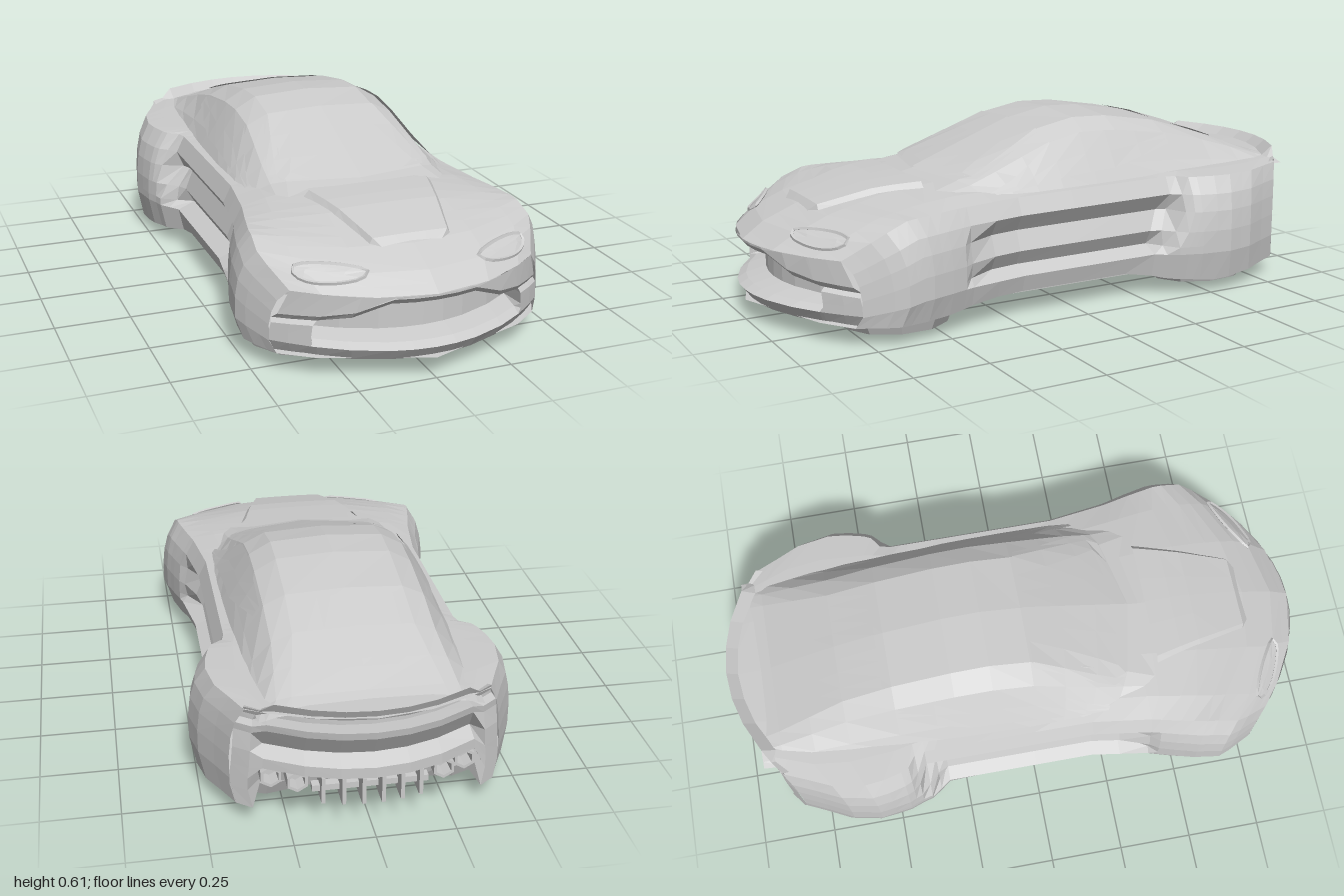
import * as THREE from 'three';

const mat = new THREE.MeshStandardMaterial({ color: 0xcccccc, flatShading: true, side: THREE.DoubleSide });
const mix = (a, b, t) => a + (b - a) * t;
const clamp = THREE.MathUtils.clamp;

// piecewise linear curve through [position, value] keys
function curve(keys) {
  return (s) => {
    if (s <= keys[0][0]) return keys[0][1];
    for (let i = 1; i < keys.length; i++) {
      const [a, va] = keys[i - 1], [b, vb] = keys[i];
      if (s <= b) return mix(va, vb, (s - a) / (b - a));
    }
    return keys[keys.length - 1][1];
  };
}

// surface through fn(u, v) for every pair of the given parameters
function grid(us, vs, fn) {
  const pos = [], idx = [], n = vs.length;
  us.forEach((u) => vs.forEach((v) => pos.push(...fn(u, v))));
  for (let i = 0; i < us.length - 1; i++) for (let j = 0; j < n - 1; j++) {
    const a = i * n + j;
    idx.push(a, a + 1, a + n, a + 1, a + n + 1, a + n);
  }
  const g = new THREE.BufferGeometry();
  g.setAttribute('position', new THREE.Float32BufferAttribute(pos, 3));
  g.setIndex(idx);
  g.computeVertexNormals();
  return g;
}
const steps = (a, b, n) => Array.from({ length: n + 1 }, (_, i) => mix(a, b, i / n));
const mirrored = (list) => [...list.map((v) => -v), ...[...list].reverse()].filter((v, i, a) => i === 0 || v !== a[i - 1]);

// body rails along the length: half width, shoulder height, crown height, recess, floor
const width = curve([[-1, .42], [-.85, .5], [-.7, .52], [-.5, .505], [-.38, .48], [-.31, .43], [.2, .43], [.4, .46], [.55, .485], [.7, .505], [.9, .515], [1, .45]]);
const shoulder = curve([[-1, .4], [-.5, .4], [.5, .39], [.75, .385], [.9, .35], [1, .27]]);
const crown = curve([[-1, .415], [0, .415], [.4, .435], [.6, .42], [.82, .365], [.93, .32], [1, .27]]);
const recess = curve([[-.38, 0], [-.31, 1], [.3, 1], [.45, 0]]);
const floorY = curve([[-1, .1], [-.85, .07], [.8, .075], [1, .065]]);
const sillY = curve([[-1, .06], [-.6, .04], [-.35, .055], [-.2, .085], [.3, .085], [.5, .065], [1, .06]]);
// plan bow that rounds nose and tail
const bow = (x, s) => s > .4 ? -1.1 * x * x * (s - .4) / .6 : s < -.4 ? x * x * (-.4 - s) / .6 : 0;

// side profile: [fraction of width, recess depth, height]
const side = [[1, 0, .14], [1, .06, .165], [1, .03, .215], [.985, .05, .28], [.955, 0, .335], [.89, 0, .39]];

function bodyKnot(s, k) {
  const W = width(s), S = shoulder(s), T = crown(s), D = recess(s);
  let x, y, z = s;
  if (k < 2) {
    x = k * .75 * W; y = floorY(s);
    z += .13 * clamp((-.8 - s) / .2, 0, 1);
  } else if (k === 2) {
    x = .96 * W; y = sillY(s);
  } else if (k < 9) {
    const [f, d, h] = side[k - 3];
    y = h * S / .39;
    // leading edge of the rear haunch leans back with height
    const lean = .55 * Math.max(0, h - .17) * clamp(1 - Math.abs(s + .38) / .2, 0, 1);
    x = f * width(s + lean) - d * recess(s + lean);
  } else {
    x = [.72, .4, 0][k - 9] * W;
    y = mix(S, T, [.45, .85, 1][k - 9]);
  }
  return [x, y, z + bow(x, s)];
}
function bodyPoint(s, k, lift = 0) {
  const a = Math.min(Math.floor(k), 10), p = bodyKnot(s, a), q = bodyKnot(s, a + 1);
  const r = p.map((v, i) => mix(v, q[i], k - a));
  r[1] += lift; r[2] += lift;
  return r;
}

// cabin rails: roof height, roof half width, base half width
const roofY = curve([[-.92, .405], [-.85, .425], [-.62, .515], [-.45, .57], [-.25, .605], [-.12, .61], [.02, .583], [.4, .44], [.52, .415]]);
const roofW = curve([[-.9, .24], [-.6, .19], [0, .19], [.4, .24], [.52, .27]]);
const baseW = curve([[-.92, .34], [-.5, .36], [0, .37], [.3, .37], [.52, .34]]);
function cabinKnot(z, k) {
  const r = roofW(z), b = baseW(z);
  const x = k === 4 ? 0 : r + (b - r) * [1, .78, .41, 0][k];
  const y = mix(.385, roofY(z), [0, .3, .77, .95, 1][k]);
  return [x, y, z - .9 * x * x * clamp(z / .4, 0, 1)];
}
function cabinPoint(z, t, sign = 1, lift = 0) {
  const a = Math.min(Math.floor(t), 3), p = cabinKnot(z, a), q = cabinKnot(z, a + 1);
  const r = p.map((v, i) => mix(v, q[i], t - a));
  r[0] = sign * (r[0] + (t < 2.3 ? lift : 0));
  r[1] += lift;
  return r;
}

export function createModel() {
  const car = new THREE.Group();
  car.name = 'car';
  const add = (name, geo, parent = car) => {
    const m = new THREE.Mesh(geo, mat);
    m.name = name;
    parent.add(m);
    return m;
  };

  // main shell
  const stations = [-1, -.93, -.85, -.78, -.7, -.6, -.5, -.46, -.42, -.38, -.345, -.31, -.2, 0, .2, .3, .4, .45, .55, .62, .7, .76, .82, .88, .93, .97, 1];
  const ring = [...steps(0, 11, 11), ...steps(-10, -1, 9), 0];
  add('bodyShell', grid(stations, ring, (s, k) => {
    const p = bodyKnot(s, Math.abs(k));
    return k < 0 ? [-p[0], p[1], p[2]] : p;
  }));

  // greenhouse and fastback
  add('cabin', grid([-.92, -.85, -.74, -.62, -.45, -.25, -.12, .02, .15, .28, .4, .52], steps(-4, 4, 8),
    (z, k) => cabinPoint(z, 4 - Math.abs(k), Math.sign(k) || 1)));

  // glass panels lying on the cabin
  const glass = (name, zs, edge) => add(name, grid(zs, mirrored([1, .8, .5, .25, 0]),
    (z, u) => cabinPoint(z, 4 - (4 - edge(z)) * Math.abs(u), Math.sign(u) || 1, .005)));
  glass('windscreen', [.03, .15, .28, .36, .395], curve([[.03, 2.75], [.36, 2.15], [.395, 2.6]]));
  glass('rearWindow', [-.77, -.74, -.69, -.62, -.48], curve([[-.77, 3.5], [-.69, 3.05], [-.48, 3.02]]));
  const low = curve([[-.45, 1.55], [-.2, .75], [.36, .5]]);
  const high = curve([[-.45, 1.9], [-.1, 2], [.02, 1.95], [.36, .95]]);
  for (const sx of [1, -1]) {
    add('sideWindow', grid([-.45, -.32, -.2, -.1, .02, .15, .25, .36], [0, .5, 1],
      (z, v) => cabinPoint(z, mix(low(z), high(z), v), sx, .006)));
  }

  // raised bonnet panel with sloping edges
  const bonnetW = curve([[.46, .215], [.79, .13], [.83, .08]]);
  add('bonnetPanel', grid([.46, .55, .62, .7, .79, .83], [-1.08, -.95, -.4, 0, .4, .95, 1.08], (z, u) => {
    const x = u * bonnetW(z), drop = Math.abs(u) > 1 || z > .8 ? .03 : 0;
    return [x, crown(z) + .014 - .1 * x * x - drop, z];
  }));

  // nose with mouth and splitter
  const mouthTop = curve([[0, .245], [.14, .245], [.25, .195], [.335, .18], [.45, .17]]);
  const noseHalf = [.4, .43, .44, .445, .45, .45, .45, .43];
  add('noseFascia', grid(steps(0, 7, 7), mirrored([1, .9, .775, .75, .55, .31, .15, 0]), (r, u) => {
    const x = u * noseHalf[r], a = Math.abs(x), m = mouthTop(a), o = Math.abs(u) < .76 ? 1 : 0;
    const y = [.27, m + .018, m, m - .012, .13, .115, .1, .06][r];
    const inset = [0, 0, .015, .1 * o, .1 * o, .03 * o, 0, .03][r];
    return [x, y, 1 - inset - 1.1 * x * x];
  }));

  // tail: ducktail lip, lamp groove, bumper, diffuser recess ([height, inset, half width, outer height])
  const tail = [[.405, .05, .37, .4], [.44, 0, .375, .41], [.4, .02, .38, .385], [.385, .07, .385, .37], [.355, .07, .395, .35],
    [.36, .01, .4, .345], [.335, .015, .405, .32], [.265, .06, .41, .26], [.24, .01, .415, .2], [.205, .01, .42, .16], [.2, .1, .42, .12], [.1, .13, .405, .06]];
  add('tailFascia', grid(steps(0, tail.length - 1, tail.length - 1), mirrored([1, .88, .78, .5, .25, 0]), (r, u) => {
    const [y, inset, hw, ySide] = tail[r], x = u * hw, k = clamp((Math.abs(u) - .78) / .1, 0, 1);
    return [x, mix(y, ySide, k), -1 + mix(inset, r > 6 ? 0 : inset * .6, k) + x * x];
  }));

  // headlamps: sunk lens with rim, following the wing surface
  for (const sx of [1, -1]) {
    const lamp = new THREE.Group();
    lamp.name = 'headlamp';
    lamp.scale.x = sx;
    const at = (r, a, lift) => bodyPoint(.935 + .032 * r * Math.sin(a) - .012 * Math.cos(a) * r, 9.35 + .75 * r * Math.cos(a), lift);
    const angles = steps(0, Math.PI * 2, 10);
    add('lampLens', grid([0, .5, 1], angles, (r, a) => at(r, a, .003)), lamp);
    const loop = angles.slice(0, -1).map((a) => new THREE.Vector3(...at(1, a, .003)));
    add('lampRim', new THREE.TubeGeometry(new THREE.CatmullRomCurve3(loop, true), 20, .006, 4, true), lamp);
    car.add(lamp);
  }

  // horizontal lift pods in place of wheels
  const podProfile = [[.185, .075], [.19, .05], [.165, 0], [.13, 0], [.12, .025], [.105, .025], [.095, .008], [0, .008]]
    .map(([x, y]) => new THREE.Vector2(x, y));
  for (const sx of [1, -1]) for (const z of [.6, -.58]) {
    const pod = add('liftPod', new THREE.LatheGeometry(podProfile, 10));
    pod.position.set(sx * .3, .013, z);
    pod.rotation.set(z < 0 ? .03 : 0, 0, sx * .08);
  }

  // underfloor frame
  const frame = new THREE.Group();
  frame.name = 'underfloorFrame';
  car.add(frame);
  const box = (name, w, h, d, x, y, z, ry = 0, parent = frame) => {
    const m = add(name, new THREE.BoxGeometry(w, h, d), parent);
    m.position.set(x, y, z);
    m.rotation.y = ry;
  };
  for (const sx of [1, -1]) {
    box('frameRail', .02, .025, .62, sx * .055, .065, .08);
    box('sillRail', .02, .02, .55, sx * .34, .07, 0);
    box('frontBrace', .02, .025, .2, sx * .12, .065, .43, sx * .7);
    box('rearBrace', .02, .025, .24, sx * .14, .065, -.28, -sx * .75);
  }
  for (const z of [-.2, 0, .2, .36]) box('frameRung', .2, .02, .025, 0, .063, z);

  // exhausts and diffuser fins
  const pipe = [[.022, .09], [.036, .08], [.036, 0], [.026, 0], [.024, .05], [0, .05]].map(([x, y]) => new THREE.Vector2(x, y));
  for (const x of [-.3, -.225, .225, .3]) {
    const p = add('exhaustPipe', new THREE.LatheGeometry(pipe, 6));
    p.position.set(x, .165, -.965 + x * x);
    p.rotation.x = Math.PI / 2;
  }
  for (const x of [-.15, -.09, -.03, .03, .09, .15]) box('diffuserFin', .012, .09, .1, x, .14, -.91 + x * x, 0, car);
  box('diffuserBar', .36, .02, .03, 0, .13, -.89, 0, car);

  return car;
}
